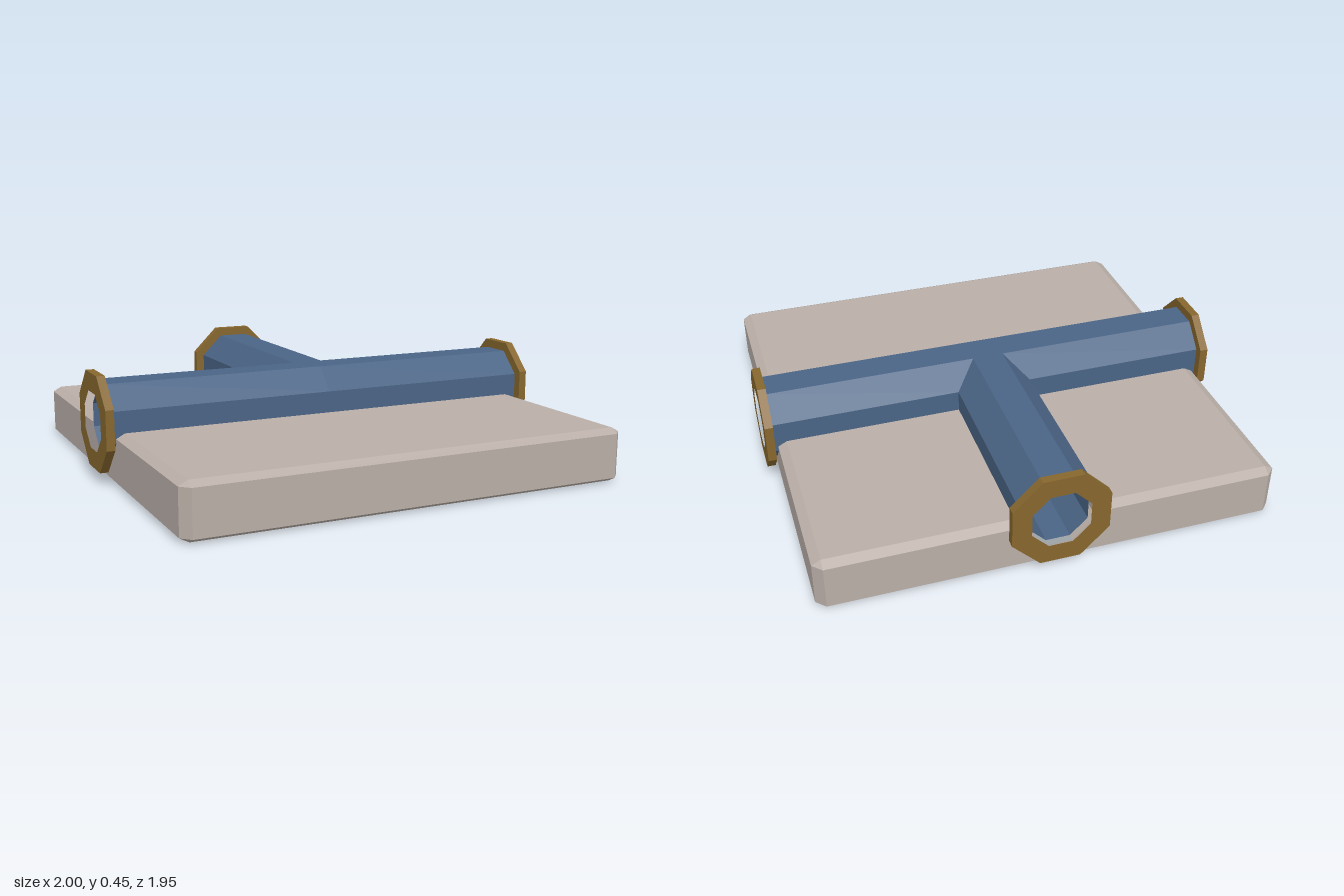
import * as THREE from 'three';

const AXIS_Y = 0.25;   // height of the pipe axes
const PIPE = 0.162;    // pipe apothem
const BORE = 0.12;     // inner apothem
const FLANGE = 0.2;    // flange apothem
const REACH = 0.965;   // pipe length from the junction
const HALF = 0.95;     // half width of the slab
const BEVEL = 0.037;
const FLAT = Math.tan(Math.PI / 8);

// Joins rings of points (counter-clockwise about the travel direction) into flat faces
function loft(rings, capStart = false, capEnd = false) {
  const pos = [];
  const tri = (a, b, c) => pos.push(...a, ...b, ...c);
  const n = rings[0].length;
  for (let r = 0; r + 1 < rings.length; r++) {
    const A = rings[r], B = rings[r + 1];
    for (let i = 0; i < n; i++) {
      const j = (i + 1) % n;
      tri(A[i], A[j], B[j]);
      tri(A[i], B[j], B[i]);
    }
  }
  const first = rings[0], last = rings[rings.length - 1];
  for (let i = 1; i + 1 < n; i++) {
    if (capStart) tri(first[0], first[i + 1], first[i]);
    if (capEnd) tri(last[0], last[i], last[i + 1]);
  }
  const geo = new THREE.BufferGeometry();
  geo.setAttribute('position', new THREE.Float32BufferAttribute(pos, 3));
  geo.computeVertexNormals();
  return geo;
}

// Octagon as [y, z] pairs, split at z = 0 so that arms can be mitred
function octagon(a) {
  const f = a * FLAT;
  return [[a, 0], [a, f], [f, a], [-f, a], [-a, f], [-a, 0], [-a, -f], [-f, -a], [f, -a], [a, -f]];
}

// Pipe wall along +x, starting at the mitre given by start(z)
function pipeWall(a, start, inward) {
  const pts = octagon(a);
  if (inward) pts.reverse();
  return loft([
    pts.map(([y, z]) => [start(z), y, z]),
    pts.map(([y, z]) => [REACH, y, z]),
  ]);
}

function flangeGeometry() {
  const points = (a) => octagon(a).map(([y, z]) => new THREE.Vector2(z, y));
  const shape = new THREE.Shape(points(FLANGE));
  shape.holes.push(new THREE.Path(points(BORE)));
  const geo = new THREE.ExtrudeGeometry(shape, { depth: 1 - REACH, bevelEnabled: false });
  return geo.rotateY(Math.PI / 2).translate(REACH, 0, 0);
}

export function createModel() {
  const stone = new THREE.MeshStandardMaterial({ color: 0xb9aea7 });
  stone.name = 'warm grey stone';
  const blue = new THREE.MeshStandardMaterial({ color: 0x4a6485 });
  blue.name = 'slate blue pipe';
  const brass = new THREE.MeshStandardMaterial({ color: 0x86662e });
  brass.name = 'dull brass';

  const model = new THREE.Group();
  model.name = 'pipeJunctionTile';
  const body = new THREE.Group();
  body.name = 'body';
  body.position.z = 0.025;
  model.add(body);
  const add = (parent, name, geo, mat) => {
    const mesh = new THREE.Mesh(geo, mat);
    mesh.name = name;
    parent.add(mesh);
  };

  // Slab: solid base below the pipes, three blocks around the T-shaped trench
  const trenchY = AXIS_Y - PIPE;
  const baseRing = (y, inset, k) => {
    const e = HALF - inset, c = e - k;
    return [[-c, e], [c, e], [e, c], [e, -c], [c, -e], [-c, -e], [-e, -c], [-e, c]].map(([x, z]) => [x, y, z]);
  };
  add(body, 'slabBase', loft([
    baseRing(0, BEVEL, 0), baseRing(0.02, 0, BEVEL), baseRing(trenchY, 0, BEVEL),
  ], true), stone);

  // Levels: height, trench half width, edge inset, corner chamfer
  const levels = [
    [trenchY, PIPE * FLAT, 0, BEVEL],
    [AXIS_Y - PIPE * FLAT, PIPE, 0, BEVEL],
    [0.205, PIPE, 0, BEVEL],
    [0.225, PIPE, BEVEL, 0],
  ];
  const block = (outline) => loft(levels.map(([y, w, inset, k]) => {
    const e = HALF - inset;
    return outline(w, e, e - k).map(([x, z]) => [x, y, z]);
  }), false, true);
  const backOutline = (w, e, c) => [[e, -w], [e, -c], [c, -e], [w, -e], [w, -w]];
  add(body, 'slabFront', block((w, e, c) => [[-c, e], [c, e], [e, c], [e, w], [-e, w], [-e, c]]), stone);
  add(body, 'slabBackLeft', block(backOutline), stone);
  add(body, 'slabBackRight', block((w, e, c) => backOutline(w, e, c).map(([x, z]) => [-x, z]).reverse()), stone);

  // Three hollow arms meeting in mitred seams, each ending in a flange
  const arms = [
    ['left', 0, (z) => Math.max(0, -z)],
    ['right', Math.PI, (z) => Math.max(0, z)],
    ['back', Math.PI / 2, (z) => Math.abs(z)],
  ];
  for (const [side, turn, start] of arms) {
    const arm = new THREE.Group();
    arm.name = side + 'PipeArm';
    arm.position.y = AXIS_Y;
    arm.rotation.y = turn;
    add(arm, side + 'PipeOuter', pipeWall(PIPE, start, false), blue);
    add(arm, side + 'PipeInner', pipeWall(BORE, start, true), blue);
    add(arm, side + 'Flange', flangeGeometry(), brass);
    body.add(arm);
  }
  return model;
}
